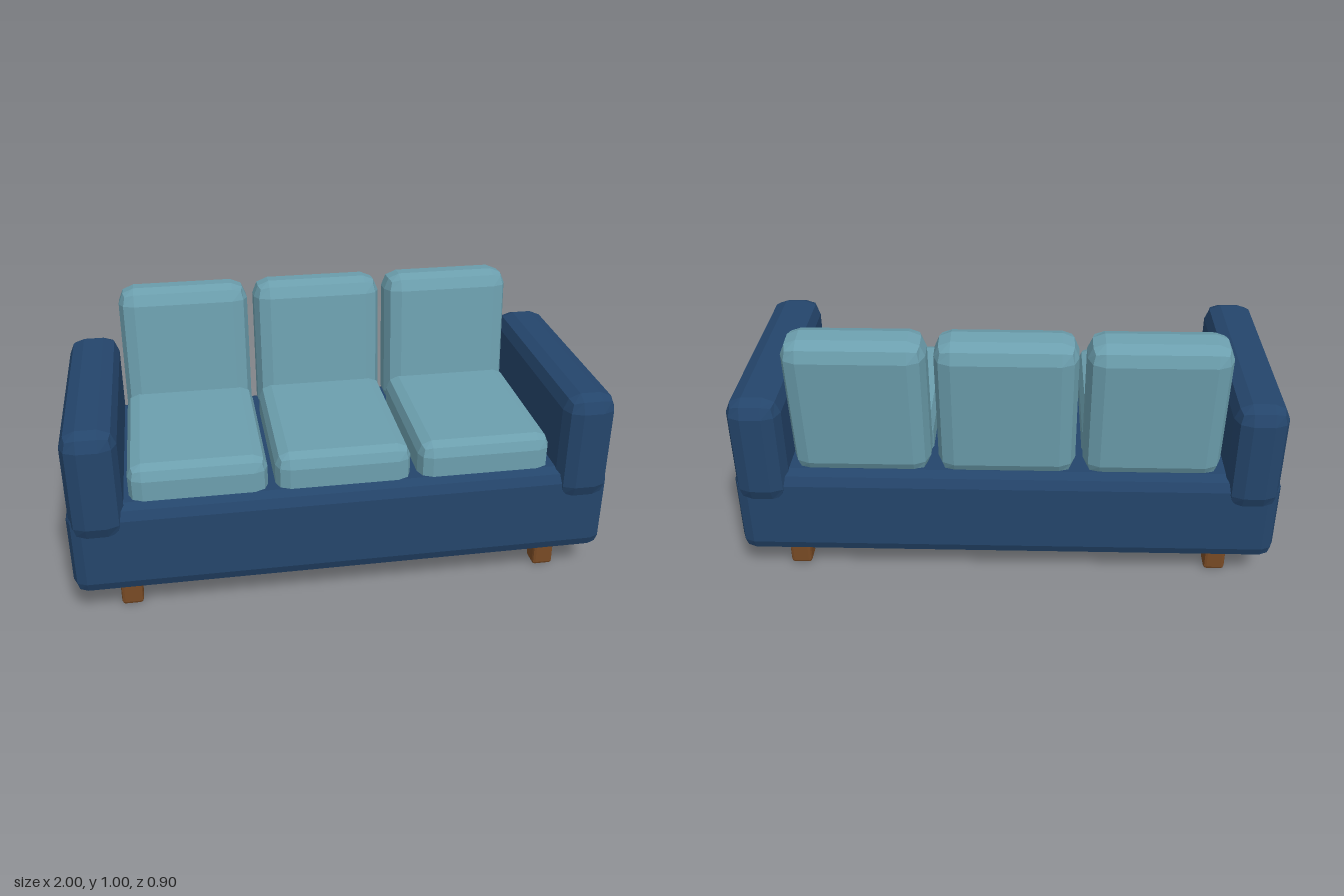
import * as THREE from 'three';
import { RoundedBoxGeometry } from 'three/addons/geometries/RoundedBoxGeometry.js';

function material(name, color) {
  const m = new THREE.MeshStandardMaterial({ color });
  m.name = name;
  m.flatShading = true;
  return m;
}

export function createModel() {
  const group = new THREE.Group();
  group.name = 'sofa';
  const navy = material('navy fabric', 0x24456b);
  const teal = material('teal fabric', 0x6c9fae);
  const wood = material('brown wood', 0x784a24);

  // Box with a two-step bevel on every edge
  function block(name, size, pos, radius, mat) {
    const mesh = new THREE.Mesh(new RoundedBoxGeometry(...size, 1, radius), mat);
    mesh.name = name;
    mesh.position.set(...pos);
    group.add(mesh);
    return mesh;
  }

  block('base', [2, 0.355, 0.86], [0, 0.287, 0], 0.05, navy);

  // Armrests and legs, mirrored
  for (const [side, s] of [['left', 1], ['right', -1]]) {
    block(side + 'Armrest', [0.195, 0.425, 0.905], [s * 0.893, 0.557, 0], 0.06, navy);
    for (const [end, e] of [['front', 1], ['back', -1]]) {
      block(side + end + 'Leg', [0.08, 0.14, 0.082], [s * 0.8, 0.07, e * 0.315], 0.012, wood);
    }
  }

  // Three seat cushions with leaning back cushions
  for (let i = -1; i <= 1; i++) {
    const x = i * 0.527;
    block('seatCushion' + (i + 2), [0.5, 0.19, 0.655], [x, 0.495, 0.055], 0.05, teal);
    const back = block('backCushion' + (i + 2), [0.5, 0.555, 0.183], [x, 0.72, -0.323], 0.06, teal);
    back.rotation.x = -0.1;
  }
  return group;
}
